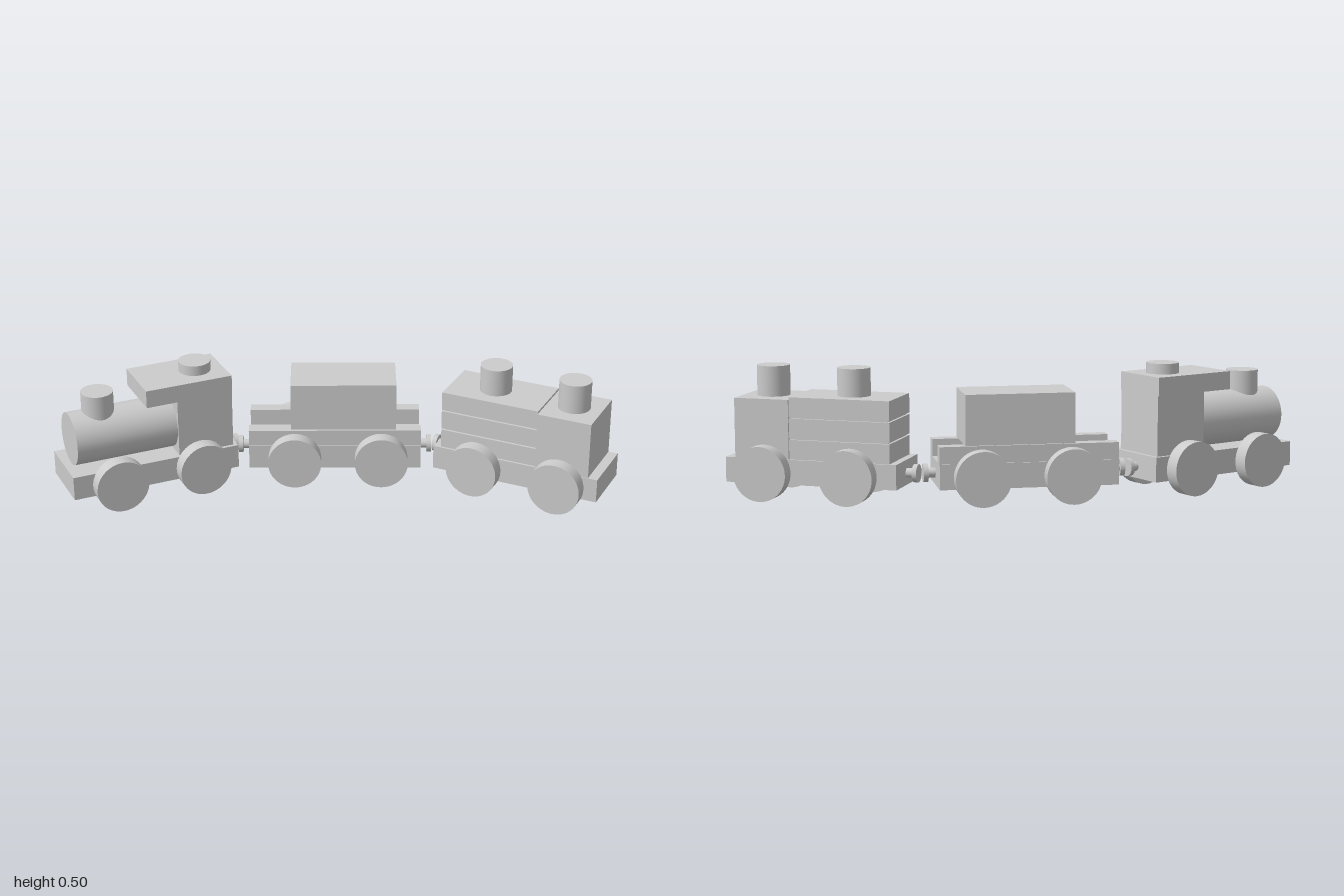
import * as THREE from 'three';

const mat = new THREE.MeshStandardMaterial({ color: 0xcccccc });

function add(parent, name, geo, x, y, z) {
  const m = new THREE.Mesh(geo, mat);
  m.name = name;
  m.position.set(x, y, z);
  parent.add(m);
  return m;
}

// Box given by its lower and upper limits along x and y, and its width around z
function block(parent, name, x0, x1, y0, y1, width, z = 0) {
  return add(parent, name, new THREE.BoxGeometry(x1 - x0, y1 - y0, width),
    (x0 + x1) / 2, (y0 + y1) / 2, z);
}

// Upright round peg
function peg(parent, name, x, y0, y1, r = 0.0625) {
  return add(parent, name, new THREE.CylinderGeometry(r, r, y1 - y0, 40), x, (y0 + y1) / 2, 0);
}

// Cylinder lying along the car
function rod(parent, name, x0, x1, y, r) {
  const m = add(parent, name, new THREE.CylinderGeometry(r, r, x1 - x0, 40), (x0 + x1) / 2, y, 0);
  m.rotation.z = Math.PI / 2;
  return m;
}

// Coupling: short stub with a round end plate
function coupling(parent, end) {
  const g = new THREE.Group();
  g.name = 'coupling';
  rod(g, 'couplingStub', 0.33, 0.37, 0.105, 0.018);
  rod(g, 'couplingPlate', 0.366, 0.384, 0.105, 0.034);
  if (end < 0) g.rotation.y = Math.PI;
  parent.add(g);
}

// Chassis with four wheels, shared by every car
function car(name, x, z, degrees, ends) {
  const g = new THREE.Group();
  g.name = name;
  g.position.set(x, 0, z);
  g.rotation.y = -THREE.MathUtils.degToRad(degrees);
  block(g, 'chassis', -0.338, 0.338, 0.06, 0.155, 0.25);
  for (const wx of [-0.158, 0.182]) {
    for (const side of [-1, 1]) {
      const w = add(g, 'wheel', new THREE.CylinderGeometry(0.104, 0.104, 0.056, 48), wx, 0.104, side * 0.152);
      w.rotation.x = Math.PI / 2;
    }
  }
  for (const end of ends) coupling(g, end);
  return g;
}

export function createModel() {
  const train = new THREE.Group();
  train.name = 'toyTrain';

  // Engine
  const engine = car('engine', -0.662, -0.397, 0, [1]);
  rod(engine, 'boiler', -0.307, 0.1, 0.26, 0.104);
  block(engine, 'cab', 0.097, 0.322, 0.155, 0.385, 0.222);
  block(engine, 'roof', -0.028, 0.322, 0.385, 0.455, 0.23);
  peg(engine, 'chimney', -0.188, 0.34, 0.44);
  peg(engine, 'roofVent', 0.212, 0.455, 0.495);

  // Freight car: two long rails carrying a box
  const freight = car('freightCar', 0.07, -0.22, 24.3, [-1, 1]);
  for (const side of [-1, 1]) block(freight, 'rail', -0.338, 0.338, 0.155, 0.22, 0.05, side * 0.095);
  block(freight, 'cargoBox', -0.173, 0.24, 0.22, 0.41, 0.22);

  // Tail car: stacked planks behind a cabin
  const tail = car('tailCar', 0.685, 0.232, 50, [-1]);
  block(tail, 'cabin', 0.085, 0.3, 0.155, 0.38, 0.245);
  block(tail, 'plankCore', -0.3, 0.085, 0.155, 0.38, 0.212);
  for (let i = 0; i < 3; i++) {
    const y = 0.155 + i * 0.08;
    block(tail, 'plank', -0.31, 0.085, y, y + 0.074, 0.232);
  }
  peg(tail, 'rearChimney', -0.132, 0.38, 0.495);
  peg(tail, 'frontChimney', 0.19, 0.38, 0.495);

  train.add(engine, freight, tail);
  return train;
}
